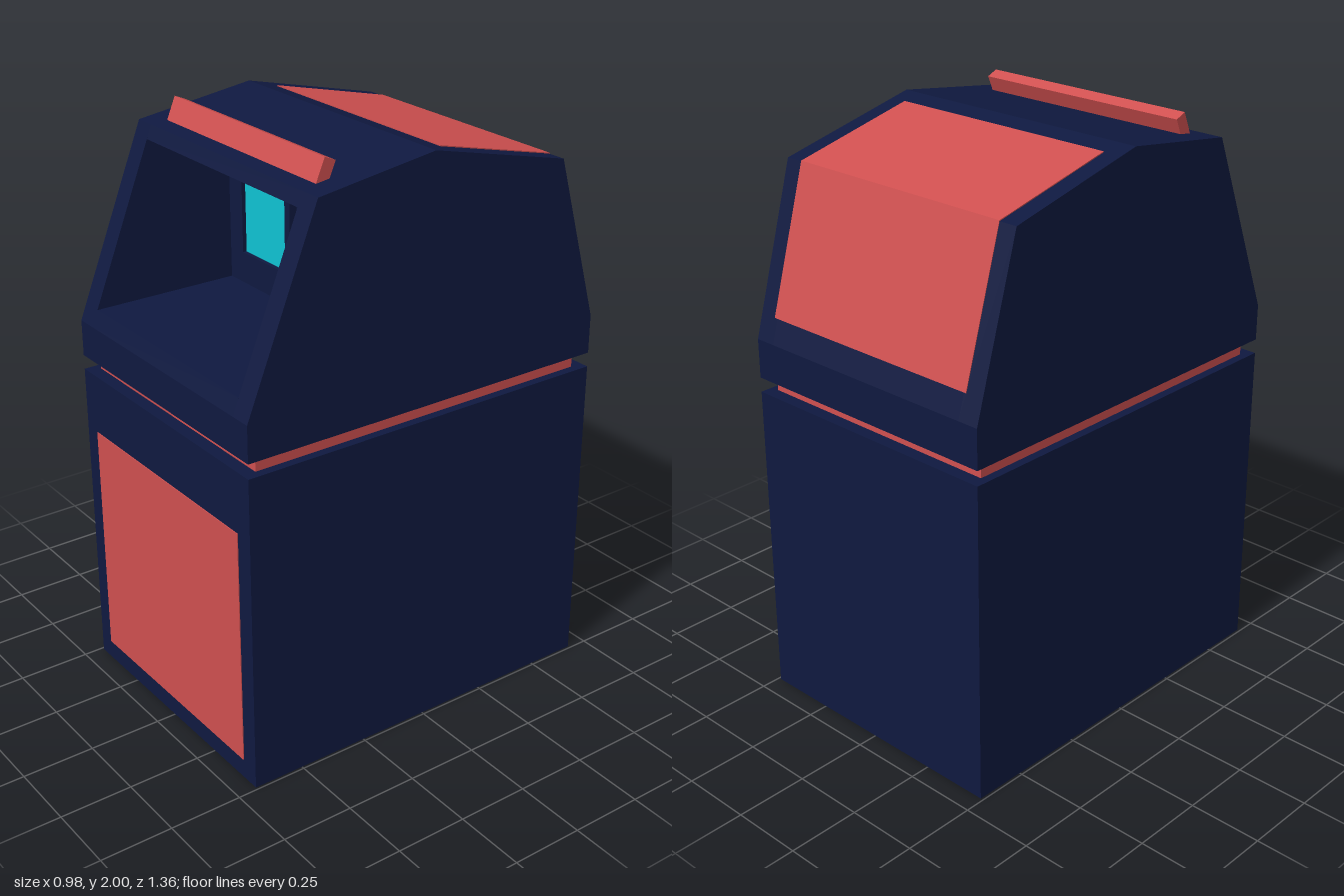
import * as THREE from 'three';

const mat = (color) => new THREE.MeshStandardMaterial({ color, flatShading: true });

export function createModel() {
  const group = new THREE.Group();
  const navy = mat(0x0f1940), red = mat(0xd05050), teal = mat(0x10c4d4);

  const add = (name, geometry, material, x = 0, y = 0, z = 0) => {
    const mesh = new THREE.Mesh(geometry, material);
    mesh.name = name;
    mesh.position.set(x, y, z);
    group.add(mesh);
    return mesh;
  };
  const box = (name, w, h, d, material, x, y, z) =>
    add(name, new THREE.BoxGeometry(w, h, d), material, x, y, z);
  const toShape = (points) => new THREE.Shape(points.map(([a, b]) => new THREE.Vector2(a, b)));

  // Extrudes a side profile of [z, y] points across the width, centred on x
  const across = (name, profile, width, material, x = 0) => {
    const g = new THREE.ExtrudeGeometry(toShape(profile), { depth: width, bevelEnabled: false });
    g.rotateY(-Math.PI / 2).translate(width / 2, 0, 0);
    return add(name, g, material, x);
  };

  // Body, front panel and belt
  box('body', 0.98, 1.11, 1.36, navy, 0, 0.555, 0);
  box('frontPanel', 0.85, 0.83, 0.006, red, 0, 0.485, 0.68);
  box('belt', 0.92, 0.05, 1.27, red, 0, 1.135, 0);

  // Head: two solid cheeks and a middle section with the face recess cut out
  const bottomFront = [[0.68, 1.16], [0.68, 1.285]];
  const roofAndBack = [[0.425, 1.92], [0, 1.98], [-0.515, 1.86], [-0.68, 1.295], [-0.68, 1.16]];
  const recess = [[0.658, 1.34], [0.136, 1.34], [0.136, 1.875], [0.443, 1.875]];
  for (const s of [-1, 1]) {
    across(s > 0 ? 'leftCheek' : 'rightCheek', [...bottomFront, ...roofAndBack], 0.075, navy, s * 0.4525);
  }
  across('headMiddle', [...bottomFront, ...recess, ...roofAndBack], 0.83, navy);

  // Bent panel over the rear roof and back slope
  across('backPanel', [
    [-0.07, 1.967], [-0.516, 1.863], [-0.658, 1.379],
    [-0.652, 1.376], [-0.51, 1.858], [-0.07, 1.96],
  ], 0.85, red);

  // Tilted bar on the brow
  box('browBar', 0.81, 0.09, 0.042, red, 0, 1.952, 0.338).rotation.x = -0.4;

  // Eyes: one square, one octagonal, each inside a frame with an opening
  const outline = (half, cut) => {
    const k = half - cut;
    return cut
      ? [[half, -k], [half, k], [k, half], [-k, half], [-half, k], [-half, -k], [-k, -half], [k, -half]]
      : [[half, -half], [half, half], [-half, half], [-half, -half]];
  };
  const eye = (name, x, cut) => {
    const frame = toShape(outline(0.15, cut * 1.2));
    frame.holes.push(toShape(outline(0.122, cut)));
    add(name + 'Frame', new THREE.ExtrudeGeometry(frame, { depth: 0.03, bevelEnabled: false }), navy, x, 1.588, 0.134);
    const lens = toShape(outline(0.122, cut));
    add(name, new THREE.ExtrudeGeometry(lens, { depth: 0.016, bevelEnabled: false }), teal, x, 1.588, 0.134);
  };
  eye('squareEye', -0.177, 0);
  eye('octagonEye', 0.192, 0.06);

  return group;
}
